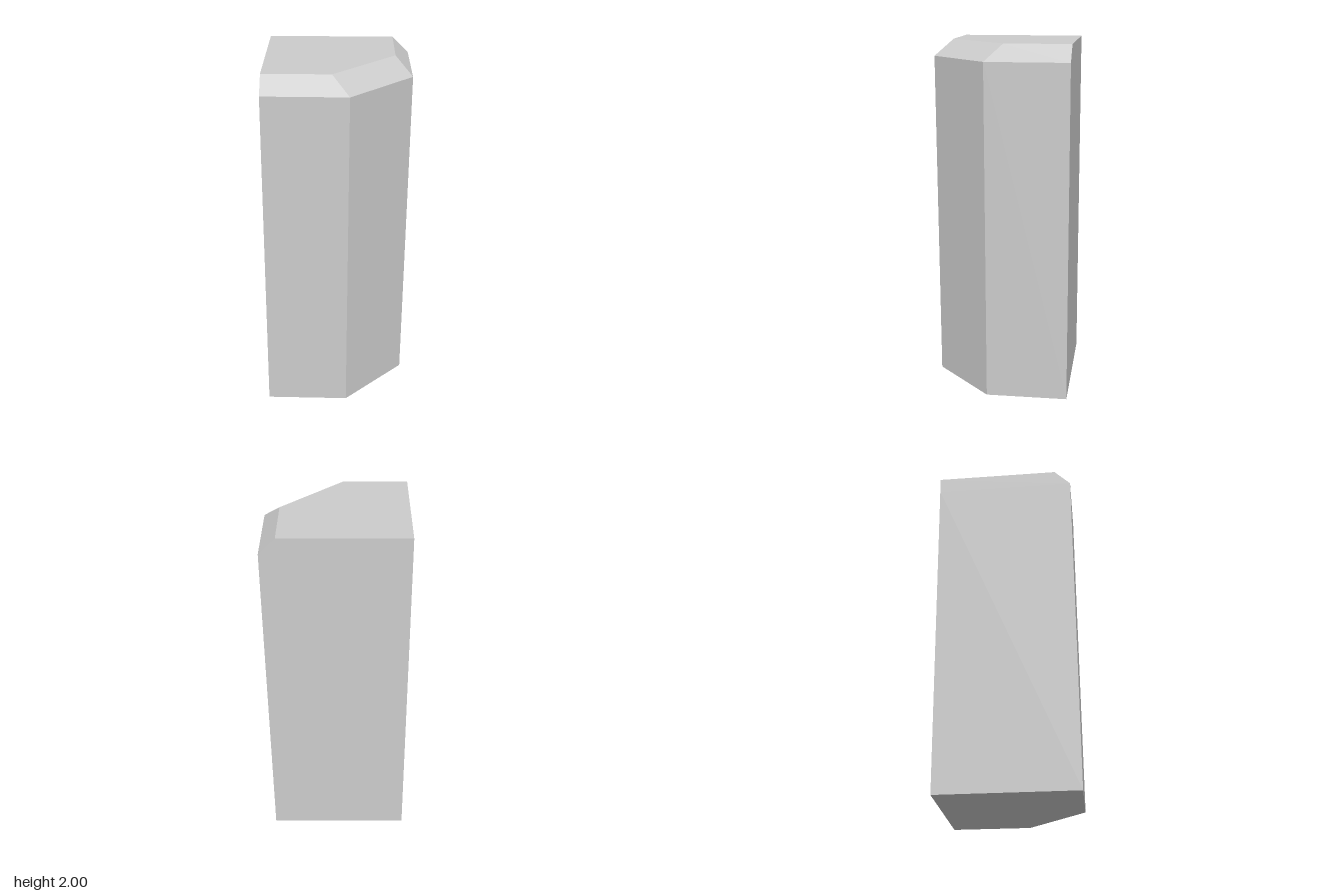
import * as THREE from 'three';

// Five-sided plan of [x, z] points: back corner, side corners and front corners
const plan = (sideX, sideZ, frontX, frontZ) => [
  [0, -0.447], [sideX, sideZ], [frontX, frontZ], [-frontX, frontZ], [-sideX, sideZ],
];

// Flat-faced loft through stacked rings, closed at both ends
function loft(rings) {
  const positions = [];
  const tri = (...points) => points.forEach((p) => positions.push(...p));
  const loops = rings.map(({ y, points }) => points.map(([x, z]) => [x, y, z]));
  const n = loops[0].length;

  for (let r = 0; r < loops.length - 1; r++) {
    const low = loops[r], high = loops[r + 1];
    for (let i = 0; i < n; i++) {
      const j = (i + 1) % n;
      tri(low[i], high[i], high[j]);
      tri(low[i], high[j], low[j]);
    }
  }
  const bottom = loops[0], top = loops[loops.length - 1];
  for (let i = 1; i < n - 1; i++) {
    tri(bottom[0], bottom[i], bottom[i + 1]);
    tri(top[0], top[i + 1], top[i]);
  }

  const geometry = new THREE.BufferGeometry();
  geometry.setAttribute('position', new THREE.Float32BufferAttribute(positions, 3));
  geometry.computeVertexNormals();
  return geometry;
}

export function createModel() {
  const group = new THREE.Group();
  group.name = 'cornerPillar';

  // Upright corner block with a bevel along the three front top edges
  const outer = plan(0.565, 0.118, 0.24, 0.446);
  const inner = plan(0.5, 0.053, 0.24, 0.314);
  const block = new THREE.Mesh(
    loft([
      { y: 0, points: outer },
      { y: 1.91, points: outer },
      { y: 2, points: inner },
    ]),
    new THREE.MeshStandardMaterial({ color: 0xcccccc, flatShading: true }),
  );
  block.name = 'bevelledBlock';
  group.add(block);

  return group;
}
